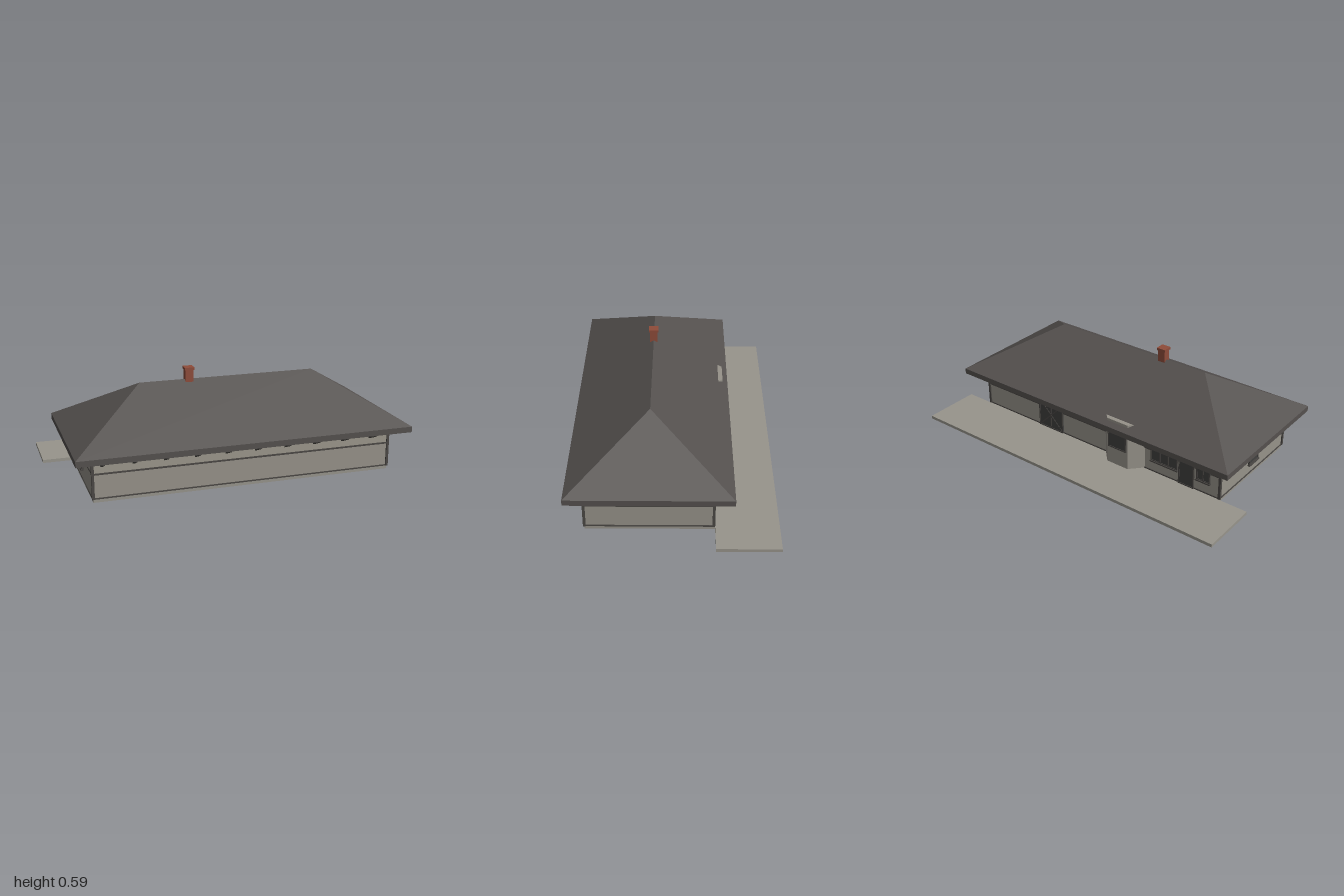
import * as THREE from 'three';

const mat = (name, color) => {
  const m = new THREE.MeshStandardMaterial({ color });
  m.name = name;
  return m;
};

export function createModel() {
  const house = new THREE.Group();
  house.name = 'stationHouse';

  const siding = mat('siding', 0x97938a);
  const plaster = mat('upperPlaster', 0x9c988c);
  const stone = mat('platformStone', 0x98958c);
  const slate = mat('roofSlate', 0x55514f);
  const trim = mat('darkTrim', 0x4b4845);
  const glass = mat('darkGlass', 0x40403f);
  const brick = mat('brick', 0x8f4c3a);

  const add = (name, geo, material, parent = house) => {
    const mesh = new THREE.Mesh(geo, material);
    mesh.name = name;
    parent.add(mesh);
    return mesh;
  };
  // Box given by its lower and upper limits
  const box = (name, material, x0, x1, y0, y1, z0, z1, parent) => {
    const mesh = add(name, new THREE.BoxGeometry(x1 - x0, y1 - y0, z1 - z0), material, parent);
    mesh.position.set((x0 + x1) / 2, (y0 + y1) / 2, (z0 + z1) / 2);
    return mesh;
  };

  const W = 0.83, ZB = -0.213, ZF = 0.453;   // wall limits
  const FLOOR = 0.018, RAIL = 0.153, EAVE = 0.234;

  // Ground slab and platform
  box('foundation', stone, -W, W, 0, FLOOR, -0.22, ZF, house);
  box('platform', stone, -1, 1, 0, FLOOR, -0.553, -0.22, house);

  // Walls
  box('lowerWalls', siding, -W, W, FLOOR, RAIL, ZB, ZF);
  box('upperWalls', plaster, -W, W, RAIL, EAVE, ZB, ZF);

  // Timber rails around the walls and corner posts
  for (const [y0, y1] of [[FLOOR, 0.025], [0.149, 0.158]])
    box('wallRail', trim, -W - 0.004, W + 0.004, y0, y1, ZB - 0.004, ZF + 0.004);
  for (const x of [-W, W])
    for (const z of [ZB, ZF])
      box('cornerPost', trim, x - 0.007, x + 0.007, FLOOR, EAVE, z - 0.007, z + 0.007);

  // Hipped roof above a flat fascia
  const RX = 0.927, Z0 = -0.315, Z1 = 0.546, Y = 0.265, RY = 0.523, RZ = 0.117;
  box('fascia', slate, -RX, RX, 0.233, Y, Z0, Z1);
  const a = [-RX, Y, Z1], b = [RX, Y, Z1], c = [RX, Y, Z0], d = [-RX, Y, Z0];
  const l = [-0.5, RY, RZ], r = [0.5, RY, RZ];
  const roof = new THREE.BufferGeometry();
  roof.setAttribute('position', new THREE.Float32BufferAttribute(
    [a, b, r, a, r, l, c, d, l, c, l, r, b, c, r, d, a, l].flat(), 3));
  roof.computeVertexNormals();
  add('hippedRoof', roof, slate);

  // Chimney
  const CX = -0.225;
  box('chimney', brick, CX - 0.022, CX + 0.022, 0.48, 0.578, RZ - 0.022, RZ + 0.022);
  box('chimneyCap', brick, CX - 0.027, CX + 0.027, 0.577, 0.591, RZ - 0.027, RZ + 0.027);

  // Eave brackets, front and back
  const bracketShape = new THREE.Shape([[0, 0.19], [0.075, 0.222], [0.08, 0.235], [0, 0.235]]
    .map(p => new THREE.Vector2(...p)));
  const bracketGeo = new THREE.ExtrudeGeometry(bracketShape, { depth: 0.01, bevelEnabled: false })
    .translate(0, 0, -0.005);
  for (let i = 0; i < 10; i++) {
    const x = -0.783 + i / 6;
    const front = add('frontBracket', bracketGeo, trim);
    front.position.set(x, 0, ZF);
    front.rotation.y = -Math.PI / 2;
    const back = add('backBracket', bracketGeo, trim);
    back.position.set(x, 0, ZB);
    back.rotation.y = Math.PI / 2;
  }

  // Bay rising through the eave at the back
  const bayShape = new THREE.Shape([[-0.07, 0.21], [-0.14, 0.285], [-0.28, 0.285], [-0.35, 0.21]]
    .map(p => new THREE.Vector2(...p)));
  const bayGeo = new THREE.ExtrudeGeometry(bayShape, { depth: 0.28, bevelEnabled: false })
    .rotateX(-Math.PI / 2);
  add('bay', bayGeo, siding).position.y = FLOOR;

  // Opening centred on its group, facing +z: glass plate, frame and mullions
  const opening = (name, w, h, panes, sill) => {
    const g = new THREE.Group();
    g.name = name;
    house.add(g);
    box('pane', glass, -w / 2, w / 2, 0, h, 0, 0.006, g);
    const f = 0.007;
    for (let i = 0; i <= panes; i++) {
      const x = -w / 2 + f / 2 + (w - f) * i / panes;
      box('frameUpright', trim, x - f / 2, x + f / 2, 0, h, 0, 0.009, g);
    }
    for (const y of [0, h - f]) box('frameRail', trim, -w / 2, w / 2, y, y + f, 0, 0.009, g);
    if (sill) box('sill', trim, -w / 2 - 0.004, w / 2 + 0.004, -0.006, 0.002, 0, 0.014, g);
    return g;
  };
  const backOpening = (name, x0, x1, y0, y1, panes, sill, z = ZB) => {
    const g = opening(name, x1 - x0, y1 - y0, panes, sill);
    g.position.set((x0 + x1) / 2, y0, z);
    g.rotation.y = Math.PI;
    return g;
  };
  backOpening('bayWindow', -0.272, -0.148, 0.122, 0.225, 1, false, -0.281);
  backOpening('wideWindow', -0.565, -0.39, 0.09, 0.2, 3, true);
  backOpening('backDoor', -0.67, -0.572, FLOOR, 0.2, 1, false);
  backOpening('smallWindow', -0.77, -0.685, 0.09, 0.2, 2, true);

  // Wide freight door with crossed braces
  const door = backOpening('freightDoor', 0.24, 0.42, FLOOR, 0.2, 2, false);
  for (const s of [-1, 1]) {
    const brace = add('doorBrace', new THREE.BoxGeometry(0.235, 0.006, 0.004), trim, door);
    brace.position.set(0, 0.091, 0.006);
    brace.rotation.z = s * Math.PI / 4;
  }

  // Window on the right end wall
  const side = opening('endWindow', 0.095, 0.12, 1, true);
  side.position.set(-W, 0.08, 0.122);
  side.rotation.y = -Math.PI / 2;

  return house;
}
